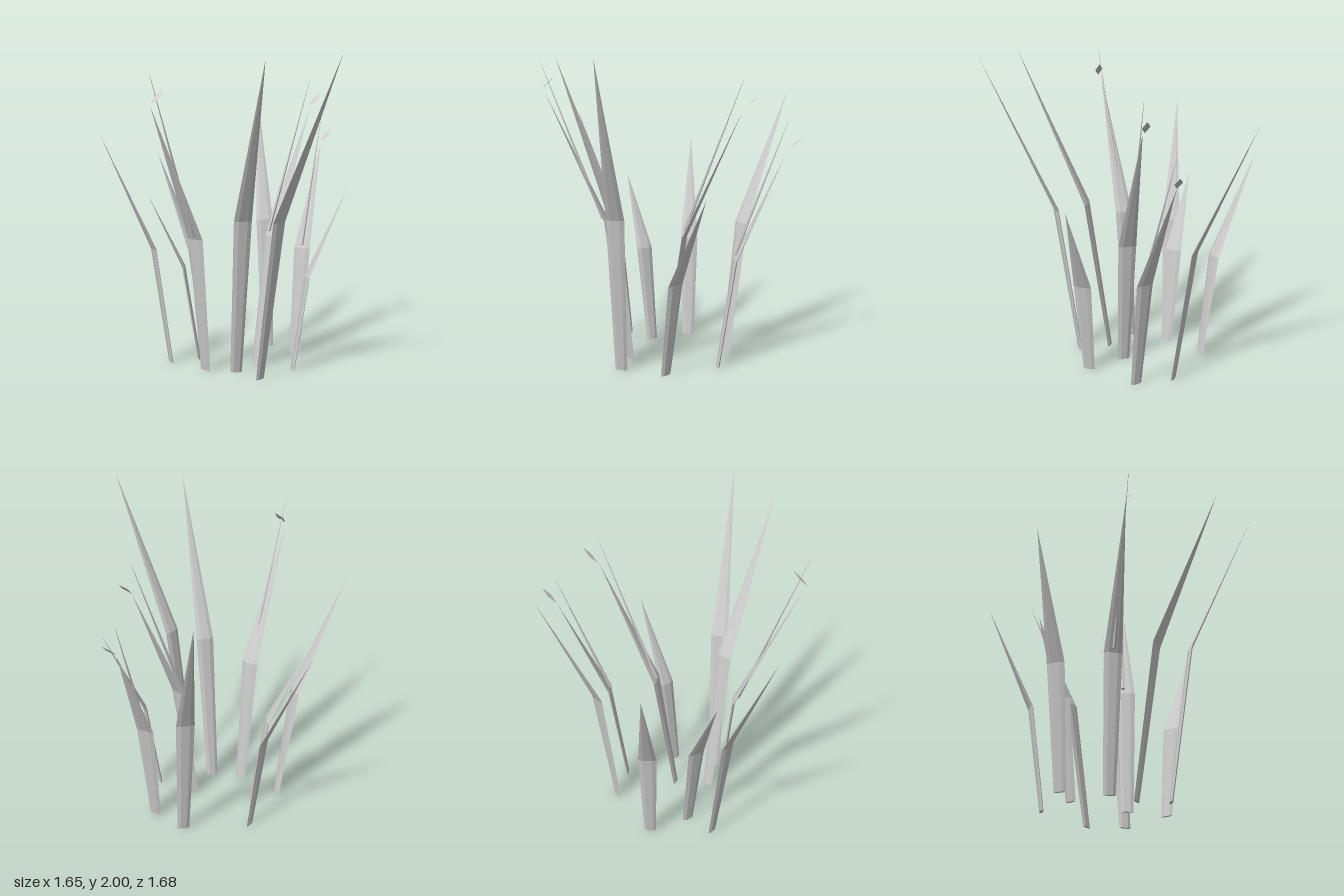
import * as THREE from 'three';

const material = new THREE.MeshStandardMaterial({ color: 0xcccccc, flatShading: true, side: THREE.DoubleSide });
const SIDES = 6;

// Each blade: root [x, z], bend [x, y, z], tip [x, y, z], optional seed stalk
const BLADES = [
  { root: [-0.085, -0.435], bend: [-0.145, 0.66, -0.5], tip: [-0.34, 1.31, -0.72] },
  { root: [0.335, -0.34], bend: [0.348, 0.86, -0.465], tip: [0.405, 1.7, -0.84] },
  { root: [-0.185, -0.185], bend: [-0.28, 0.62, -0.205], tip: [-0.5, 1.09, -0.26] },
  { root: [-0.38, -0.155], bend: [-0.49, 0.76, -0.142], tip: [-0.825, 1.5, -0.108] },
  { root: [-0.205, 0.075], bend: [-0.28, 0.86, 0.135], tip: [-0.6, 1.7, 0.37],
    stalk: { from: [-0.3, 0.88, 0.152], to: [-0.605, 1.88, 0.39], seed: [-0.56, 1.75, 0.375] } },
  { root: [-0.03, 0.17], bend: [-0.028, 0.99, 0.315], tip: [-0.022, 1.97, 0.75] },
  { root: [0.075, 0.345], bend: [0.155, 1.0, 0.465], tip: [0.4, 2.0, 0.84] },
  { root: [0.332, 0.21], bend: [0.42, 0.6, 0.22], tip: [0.68, 1.17, 0.238] },
  { root: [0.46, -0.13], bend: [0.53, 0.7, -0.2], tip: [0.735, 1.38, -0.425],
    stalk: { from: [0.525, 0.725, -0.195], to: [0.735, 1.56, -0.425], seed: [0.78, 1.43, -0.445] } },
  { root: [0.145, 0.03], bend: [0.26, 0.83, -0.025], tip: [0.575, 1.64, -0.195],
    stalk: { from: [0.245, 0.86, -0.04], to: [0.572, 1.82, -0.2], seed: [0.62, 1.69, -0.225] } },
];

function bufferGeometry(points, index) {
  const g = new THREE.BufferGeometry();
  g.setAttribute('position', new THREE.Float32BufferAttribute(points.flat(), 3));
  g.setIndex(index);
  g.computeVertexNormals();
  return g;
}

// Flattened six-sided blade that widens to the bend, then runs to a point
function bladeGeometry({ root, bend, tip }) {
  const out = new THREE.Vector3(tip[0] - root[0], 0, tip[2] - root[1]).normalize();
  const across = new THREE.Vector3(-out.z, 0, out.x);
  const rings = [
    { c: [root[0], 0, root[1]], w: 0.038, t: 0.009 },
    { c: bend, w: 0.057, t: 0.01 },
  ];
  const points = [];
  for (const { c, w, t } of rings) {
    for (let i = 0; i < SIDES; i++) {
      const a = (i / SIDES) * Math.PI * 2;
      const p = new THREE.Vector3(...c)
        .addScaledVector(across, w * Math.cos(a))
        .addScaledVector(out, t * Math.sin(a) / Math.sin(Math.PI / 3));
      points.push(p.toArray());
    }
  }
  points.push(tip, rings[0].c);
  const tipId = SIDES * 2, rootId = tipId + 1, index = [];
  for (let i = 0; i < SIDES; i++) {
    const j = (i + 1) % SIDES;
    index.push(i, j, j + SIDES, i, j + SIDES, i + SIDES);
    index.push(i + SIDES, j + SIDES, tipId);
    index.push(j, i, rootId);
  }
  return bufferGeometry(points, index);
}

// Thin tapering stalk
function stalkMesh(from, to) {
  const a = new THREE.Vector3(...from), b = new THREE.Vector3(...to);
  const dir = b.clone().sub(a);
  const mesh = new THREE.Mesh(new THREE.CylinderGeometry(0.001, 0.012, dir.length(), 5), material);
  mesh.position.copy(a).add(b).multiplyScalar(0.5);
  mesh.quaternion.setFromUnitVectors(new THREE.Vector3(0, 1, 0), dir.normalize());
  mesh.name = 'seedStalk';
  return mesh;
}

// Small diamond-shaped seed leaf
const seedGeometry = bufferGeometry(
  [[-0.045, -0.045, 0.018], [0.012, -0.005, 0.022], [0.045, 0.045, -0.018], [-0.012, 0.005, -0.022]],
  [0, 1, 2, 0, 2, 3]
);

export function createModel() {
  const model = new THREE.Group();
  model.name = 'grassClump';
  for (const spec of BLADES) {
    const blade = new THREE.Mesh(bladeGeometry(spec), material);
    blade.name = 'grassBlade';
    model.add(blade);
    if (spec.stalk) {
      const seed = new THREE.Mesh(seedGeometry, material);
      seed.position.set(...spec.stalk.seed);
      seed.name = 'seedLeaf';
      model.add(stalkMesh(spec.stalk.from, spec.stalk.to), seed);
    }
  }
  return model;
}
